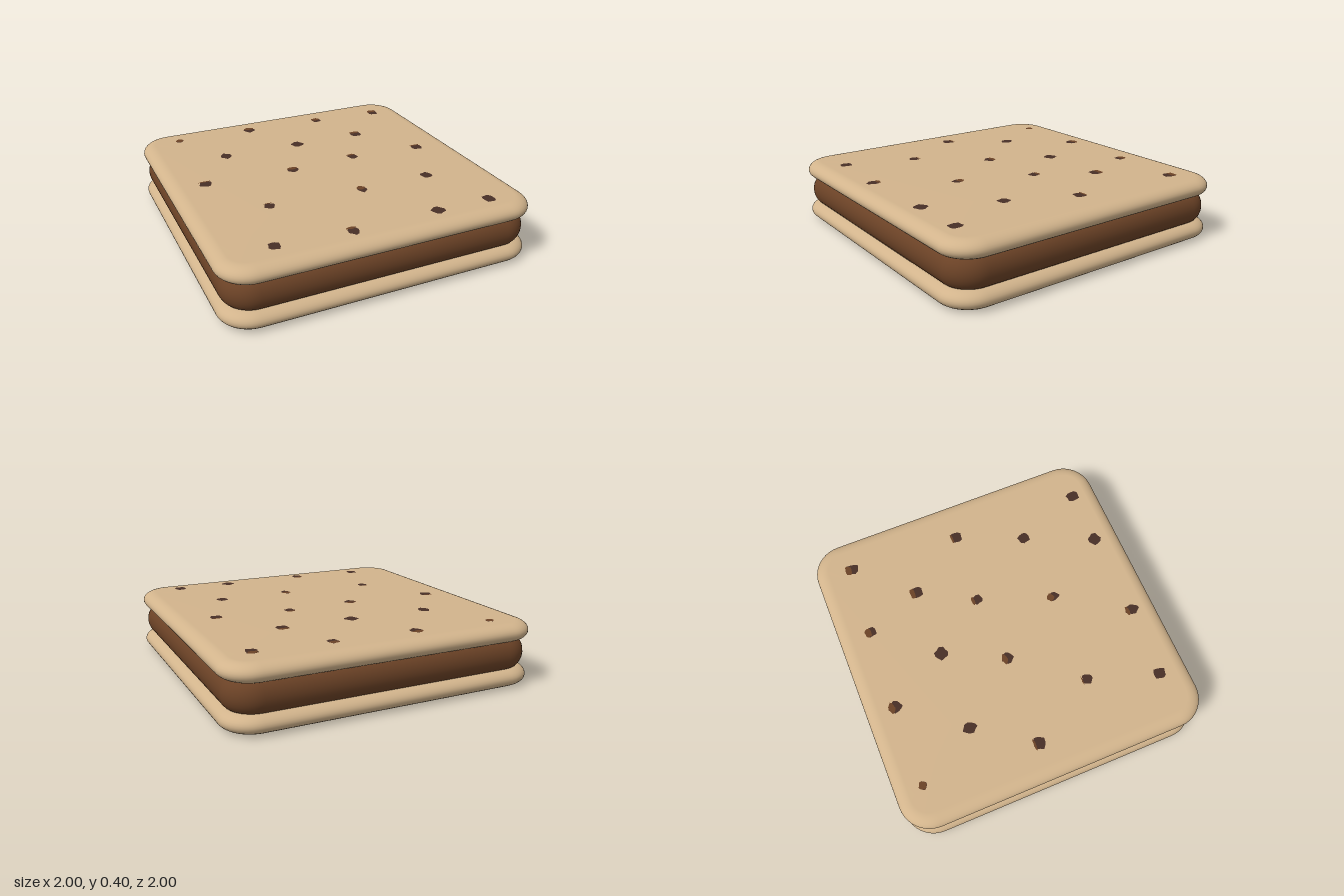
import * as THREE from 'three';

const biscuitMat = new THREE.MeshStandardMaterial({ name: 'biscuit tan', color: 0xd2b48c });
const fillingMat = new THREE.MeshStandardMaterial({ name: 'chocolate brown', color: 0x6b4226 });
const holeMat = new THREE.MeshStandardMaterial({ name: 'dark cocoa', color: 0x472f26 });

// Square slab with rounded corners and an elliptical rim, lofted from bottom to top
function slab(half, corner, y0, y1, rim) {
  const profileSteps = 14, cornerSteps = 10;
  const ringSize = 4 * (cornerSteps + 1);
  const middle = (y0 + y1) / 2, ry = (y1 - y0) / 2;
  const positions = [], index = [];
  for (let i = 0; i <= profileSteps; i++) {
    const a = -Math.PI / 2 + (Math.PI * i) / profileSteps;
    const r = corner - rim * (1 - Math.cos(a));
    for (let c = 0; c < 4; c++) {
      const sx = c === 0 || c === 3 ? 1 : -1, sz = c < 2 ? 1 : -1;
      for (let k = 0; k <= cornerSteps; k++) {
        const t = (c + k / cornerSteps) * Math.PI / 2;
        positions.push(
          sx * (half - corner) + r * Math.cos(t),
          middle + ry * Math.sin(a),
          sz * (half - corner) + r * Math.sin(t));
      }
    }
  }
  for (let i = 0; i < profileSteps; i++) {
    for (let j = 0; j < ringSize; j++) {
      const a = i * ringSize + j, b = i * ringSize + (j + 1) % ringSize;
      index.push(a, a + ringSize, b, b, a + ringSize, b + ringSize);
    }
  }
  // Flat bottom and top
  const bottom = positions.length / 3, top = bottom + 1;
  positions.push(0, y0, 0, 0, y1, 0);
  const last = profileSteps * ringSize;
  for (let j = 0; j < ringSize; j++) {
    const n = (j + 1) % ringSize;
    index.push(bottom, j, n, top, last + n, last + j);
  }
  const g = new THREE.BufferGeometry();
  g.setAttribute('position', new THREE.Float32BufferAttribute(positions, 3));
  g.setIndex(index);
  g.computeVertexNormals();
  return g;
}

// Irregular flat patch facing up
function patch(rx, rz, seed) {
  const g = new THREE.CircleGeometry(1, 11);
  const p = g.attributes.position;
  for (let i = 1; i < p.count; i++) {
    const k = 1 + 0.13 * Math.sin(((i - 1) % 11) * 2.4 + seed * 1.7);
    p.setXY(i, p.getX(i) * k * rx, p.getY(i) * k * rz);
  }
  return g.rotateX(-Math.PI / 2);
}

// Holes: x, z, x radius, z radius, share of brown on the rear side
const HOLES = [
  [-0.74, -0.82, 0.028, 0.026, 1], [-0.22, -0.81, 0.037, 0.043, 0.5],
  [0.31, -0.79, 0.033, 0.038, 0.6], [0.78, -0.76, 0.037, 0.045, 0.5],
  [-0.52, -0.43, 0.036, 0.044, 0], [0.0, -0.42, 0.042, 0.043, 0],
  [0.46, -0.42, 0.04, 0.043, 0.4], [-0.77, -0.07, 0.042, 0.038, 0.2],
  [-0.19, -0.04, 0.037, 0.037, 0.5], [0.26, -0.07, 0.032, 0.038, 0.3],
  [0.74, -0.03, 0.04, 0.038, 0.2], [-0.51, 0.37, 0.034, 0.035, 0.1],
  [0.09, 0.4, 0.028, 0.042, 0.6], [0.56, 0.39, 0.037, 0.04, 0],
  [-0.65, 0.81, 0.037, 0.04, 0], [-0.19, 0.84, 0.033, 0.045, 0.3],
  [0.37, 0.83, 0.042, 0.042, 0], [0.73, 0.83, 0.038, 0.044, 0],
];

function addHoles(parent, y, up) {
  HOLES.forEach(([x, z, rx, rz, brown], i) => {
    const place = (geometry, material, name, dz, lift) => {
      const mesh = new THREE.Mesh(geometry, material);
      mesh.name = name;
      if (!up) mesh.rotation.x = Math.PI;
      mesh.position.set(x, y + (up ? lift : -lift), z + dz);
      parent.add(mesh);
    };
    place(patch(rx, rz, i), holeMat, 'hole', 0, 0.001);
    // Brown inner wall showing at the rear of the hole
    if (brown > 0 && up) {
      const s = brown * 0.95;
      place(patch(rx * 0.95, rz * s, i), fillingMat, 'holeWall', -rz * (1 - s), 0.002);
    }
  });
}

export function createModel() {
  const model = new THREE.Group();
  model.name = 'sandwichBiscuit';
  const add = (name, geometry, material) => {
    const mesh = new THREE.Mesh(geometry, material);
    mesh.name = name;
    model.add(mesh);
  };
  add('bottomBiscuit', slab(1, 0.2, 0.002, 0.116, 0.085), biscuitMat);
  add('filling', slab(0.98, 0.19, 0.1, 0.3, 0.08), fillingMat);
  add('topBiscuit', slab(1, 0.2, 0.284, 0.398, 0.085), biscuitMat);

  const topHoles = new THREE.Group();
  topHoles.name = 'topHoles';
  addHoles(topHoles, 0.398, true);
  const bottomHoles = new THREE.Group();
  bottomHoles.name = 'bottomHoles';
  addHoles(bottomHoles, 0.002, false);
  model.add(topHoles, bottomHoles);
  return model;
}
